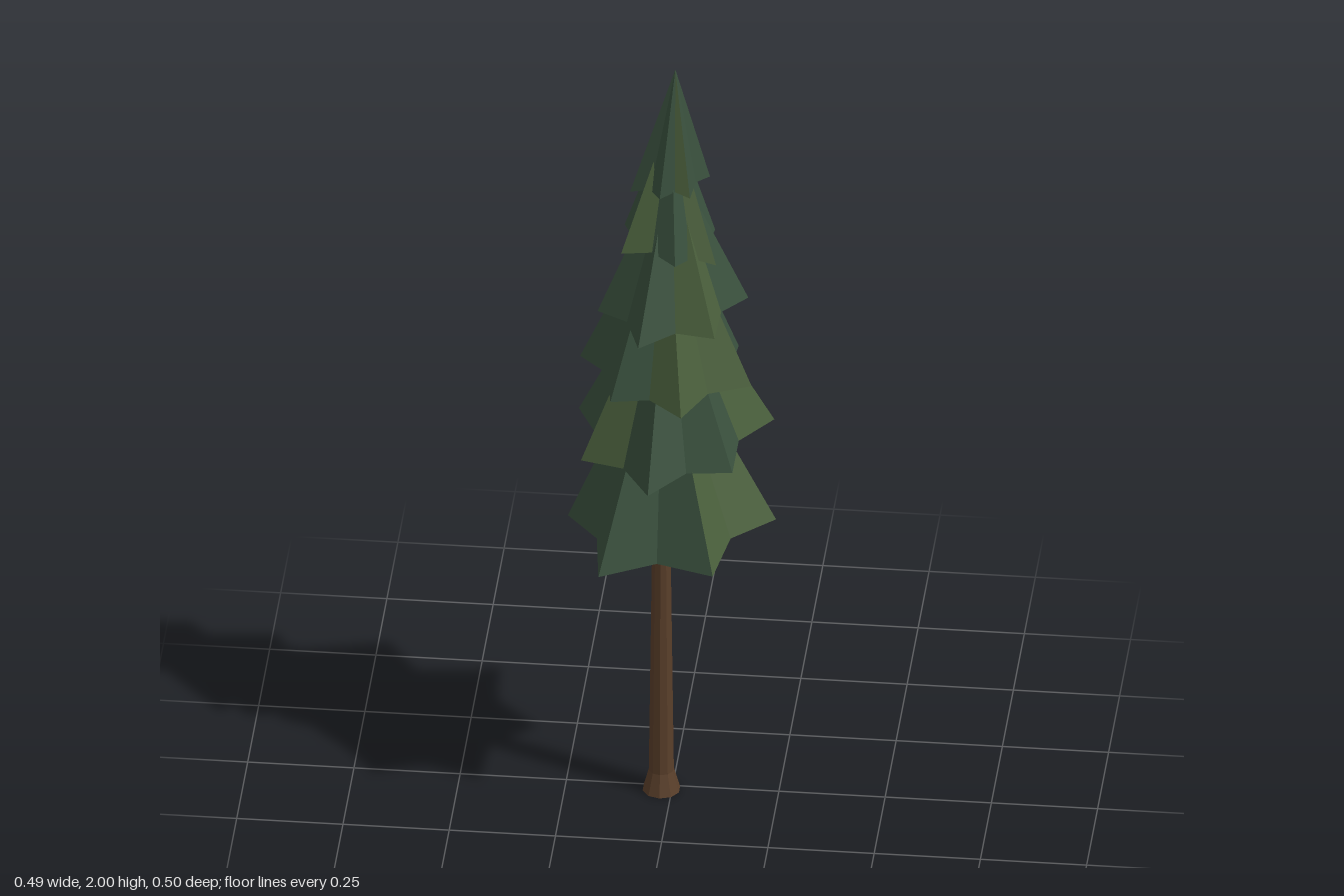
import * as THREE from 'three';

const mat = (name, color) => {
  const m = new THREE.MeshStandardMaterial({ color, flatShading: true });
  m.name = name;
  return m;
};

// Each tier: peak [x, y, z], branch tips [x, y, z] in order around the tree,
// and two letters per tip (o = olive, b = blue green) for the facets beside it.
const TIERS = [
  { peak: [-0.02, 1.28, 0.02], colors: 'oo ob bb bo bb bo',
    tips: [[0.245, 0.76, 0.015], [0.12, 0.74, 0.25], [-0.15, 0.715, 0.24], [-0.245, 0.74, 0.015], [-0.155, 0.72, -0.225], [0.125, 0.75, -0.23]] },
  { peak: [-0.01, 1.46, 0.02], colors: 'bb bb oo bb oo oo',
    tips: [[0.155, 0.96, 0.14], [-0.035, 0.94, 0.23], [-0.205, 0.95, 0.105], [-0.235, 0.94, -0.14], [0.015, 0.955, -0.255], [0.23, 0.97, -0.09]] },
  { peak: [-0.01, 1.64, 0.025], colors: 'bo oo bb bb ob bb',
    tips: [[0.19, 1.14, 0.04], [0.04, 1.14, 0.2], [-0.13, 1.15, 0.16], [-0.22, 1.16, -0.02], [-0.068, 1.15, -0.15], [0.14, 1.13, -0.15]] },
  { peak: [0, 1.76, 0.03], colors: 'ob oo bb bb oo bb',
    tips: [[0.175, 1.34, -0.03], [0.115, 1.34, 0.16], [-0.06, 1.33, 0.205], [-0.17, 1.34, 0.065], [-0.11, 1.35, -0.085], [0.045, 1.33, -0.14]] },
  { peak: [0, 1.88, 0.03], colors: 'oo bb ob bb bb bb',
    tips: [[0.11, 1.49, 0.075], [0.02, 1.52, 0.14], [-0.11, 1.53, 0.11], [-0.115, 1.53, -0.02], [-0.02, 1.52, -0.115], [0.095, 1.51, -0.05]] },
  { peak: [0.01, 2, 0.035], colors: 'bb bo bb bb ob oo',
    tips: [[0.09, 1.7, 0.02], [0.05, 1.68, 0.09], [-0.02, 1.68, 0.1], [-0.095, 1.665, 0.05], [-0.05, 1.67, -0.06], [0.05, 1.69, -0.06]] },
];

// Star-shaped cone with a hollowed underside
function tierGeometry({ peak, tips, colors }) {
  const top = new THREE.Vector3(...peak);
  const points = tips.map((t) => new THREE.Vector3(...t));
  const meanY = points.reduce((s, p) => s + p.y, 0) / points.length;
  const under = new THREE.Vector3(peak[0], meanY + 0.06, peak[2]);
  const ring = [];
  points.forEach((p, i) => {
    // notch between this tip and the next, pulled towards the axis
    const notch = p.clone().lerp(points[(i + 1) % points.length], 0.5);
    notch.x += (peak[0] - notch.x) * 0.17;
    notch.z += (peak[2] - notch.z) * 0.17;
    notch.y += 0.012;
    ring.push(p, notch);
  });

  const letters = colors.replaceAll(' ', '');
  const n = ring.length;
  const verts = [];
  const geo = new THREE.BufferGeometry();
  for (let i = 0; i < n; i++) {
    const a = ring[i], b = ring[(i + 1) % n];
    geo.addGroup(i * 6, 6, letters[(i + 1) % n] === 'o' ? 0 : 1);
    verts.push(top, b, a, under, a, b);
  }
  geo.setFromPoints(verts);
  geo.computeVertexNormals();
  return geo;
}

export function createModel() {
  const tree = new THREE.Group();
  tree.name = 'pineTree';
  const bark = mat('barkBrown', 0x5a3f2a);
  const needles = [mat('oliveGreen', 0x4a5f3c), mat('blueGreen', 0x3a513e)];

  // Trunk with a flared foot
  const profile = [[0, 0], [0.045, 0], [0.03, 0.055], [0.02, 0.85], [0, 0.85]]
    .map(([r, y]) => new THREE.Vector2(r, y));
  const trunk = new THREE.Mesh(new THREE.LatheGeometry(profile, 10), bark);
  trunk.name = 'trunk';
  trunk.position.set(-0.025, 0, 0.016);
  tree.add(trunk);

  // Foliage, from the lowest tier to the crown
  TIERS.forEach((tier, i) => {
    const mesh = new THREE.Mesh(tierGeometry(tier), needles);
    mesh.name = `foliageTier${i + 1}`;
    tree.add(mesh);
  });
  return tree;
}
